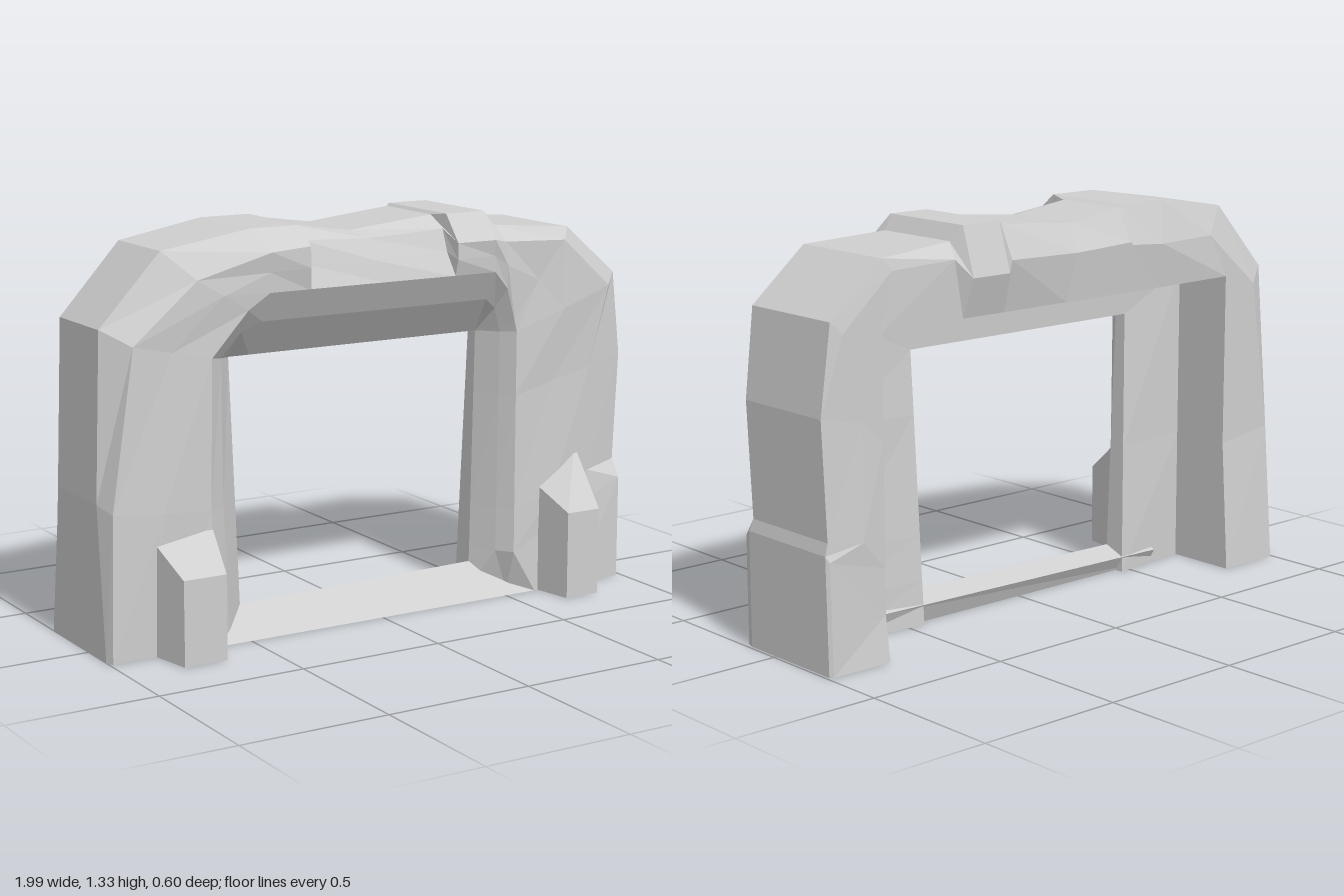
import * as THREE from 'three';

// Joins rings of [x, y, z] points into a closed, faceted solid with both ends capped.
function loft(rings) {
  const n = rings[0].length, last = (rings.length - 1) * n, index = [];
  for (let i = 0; i < rings.length - 1; i++) {
    for (let k = 0; k < n; k++) {
      const a = i * n + k, b = i * n + (k + 1) % n;
      index.push(a, a + n, b, b, a + n, b + n);
    }
  }
  for (let k = 1; k < n - 1; k++) {
    index.push(0, k, k + 1, last, last + k + 1, last + k);
  }
  const geo = new THREE.BufferGeometry();
  geo.setAttribute('position', new THREE.Float32BufferAttribute(rings.flat(2), 3));
  geo.setIndex(index);
  const flat = geo.toNonIndexed();
  flat.computeVertexNormals();
  return flat;
}

// Stations from the right foot over the top to the left foot:
// outer x, y | front edge x, y | inner front edge x, y | front z, back z
const STATIONS = [
  [-1, 0, -0.99, 0, -0.62, 0, 0.16, -0.28],
  [-1, 0.5, -0.98, 0.48, -0.64, 0.45, 0.16, -0.25],
  [-0.98, 1.05, -0.9, 1, -0.63, 0.94, 0.16, -0.25],
  [-0.77, 1.28, -0.68, 1.19, -0.5, 1.08, 0.17, -0.25],
  [-0.46, 1.33, -0.42, 1.26, -0.42, 1.13, 0.18, -0.28],
  [-0.28, 1.33, -0.28, 1.27, -0.28, 1.13, 0.18, -0.28],
  [-0.26, 1.32, -0.27, 1.28, -0.27, 1.13, 0.11, -0.28],
  [-0.05, 1.29, -0.03, 1.27, 0, 1.13, 0.11, -0.28],
  [0.27, 1.32, 0.27, 1.28, 0.27, 1.13, 0.1, -0.3],
  [0.28, 1.33, 0.28, 1.24, 0.28, 1.13, 0.18, -0.3],
  [0.43, 1.33, 0.43, 1.24, 0.44, 1.13, 0.18, -0.3],
  [0.46, 1.28, 0.48, 1.23, 0.49, 1.07, 0.17, -0.27],
  [0.75, 1.26, 0.72, 1.22, 0.52, 0.96, 0.17, -0.26],
  [0.95, 1.09, 0.91, 1.05, 0.53, 0.92, 0.17, -0.26],
  [0.99, 0.8, 0.84, 0.77, 0.53, 0.7, 0.16, -0.26],
  [0.98, 0.42, 0.85, 0.4, 0.53, 0.3, 0.15, -0.27],
  [0.99, 0.38, 0.98, 0.36, 0.53, 0.15, 0.16, -0.27],
  [0.99, 0, 0.98, 0, 0.62, 0, 0.16, -0.28],
];

const mix = THREE.MathUtils.lerp;

// Cross-section of the arch at one station, with a bevelled front and a rebated back.
function archRing([ox, oy, fx, fy, ix, iy, zf, zb], i) {
  const side = Math.sign(ix);
  const lintel = Math.abs(ix) < 0.46, elbow = !lintel && iy > 0.9;
  // Opening edge, slightly wider at the top
  const py = lintel || elbow ? 0.91 : iy;
  const px = lintel ? ix : side < 0 ? -0.46 - 0.04 * py : 0.44 + 0.02 * py;
  // Rebate corner at the back
  const ry = lintel || elbow ? 1.04 : iy;
  const rx = lintel ? ix : side * 0.76;
  const rz = Math.max(zb, iy > 0.1 ? -0.26 : -0.28);
  // The left pillar and the feet have crisp corners, the rest is chamfered
  const sharp = ox > 0.6 || oy === 0;
  const bump = i % 2 ? 0.008 : -0.004;
  return [
    [(fx + ix) / 2, (fy + iy) / 2, (zf + 0.165) / 2 + bump],
    [fx, fy, zf],
    [ox, oy, zf - (sharp ? 0.03 : 0.075)],
    [ox, oy, zb + (sharp ? 0.01 : 0.05)],
    [fx, lintel ? fy - 0.07 : fy, zb],
    [rx, ry, rz],
    [rx, ry, -0.03],
    [px, py, -0.06 + 0.04 * py],
    [px, py, 0.02],
    [mix(ix, px, 0.45), mix(iy, py, 0.45), 0.11],
    [ix, iy, 0.165],
  ];
}

// Buttress: a box with its front narrowed and its top sloped.
function buttress(x0, x1, front0, front1, topFront, topBack0, topBack1) {
  const geo = new THREE.BoxGeometry(1, 1, 1).toNonIndexed();
  const p = geo.attributes.position;
  for (let i = 0; i < p.count; i++) {
    const right = p.getX(i) > 0, top = p.getY(i) > 0, front = p.getZ(i) > 0;
    const x = front ? (right ? front1 : front0) : (right ? x1 : x0);
    const y = !top ? 0 : front ? topFront : (right ? topBack1 : topBack0);
    p.setXYZ(i, x, y, front ? 0.3 : 0.14);
  }
  geo.computeVertexNormals();
  return geo;
}

export function createModel() {
  const group = new THREE.Group();
  group.name = 'stoneArch';
  const stone = new THREE.MeshStandardMaterial({ color: 0xcfcfcf });
  stone.name = 'greyStone';
  stone.flatShading = true;

  const add = (name, geo) => {
    const mesh = new THREE.Mesh(geo, stone);
    mesh.name = name;
    group.add(mesh);
  };

  add('arch', loft(STATIONS.map(archRing)));

  // Threshold, ramped at the front and falling slightly to the back
  add('sill', loft([[-0.62, 0.08], [0.62, 0.1]].map(([x, h]) => [
    [x, 0, 0.165], [x, h, 0.02], [x, h - 0.03, -0.06], [x, 0, -0.03],
  ])));

  add('rightButtress', buttress(-0.84, -0.63, -0.81, -0.66, 0.28, 0.38, 0.41));
  add('leftButtress', buttress(0.63, 0.8, 0.66, 0.79, 0.3, 0.38, 0.49));
  return group;
}
